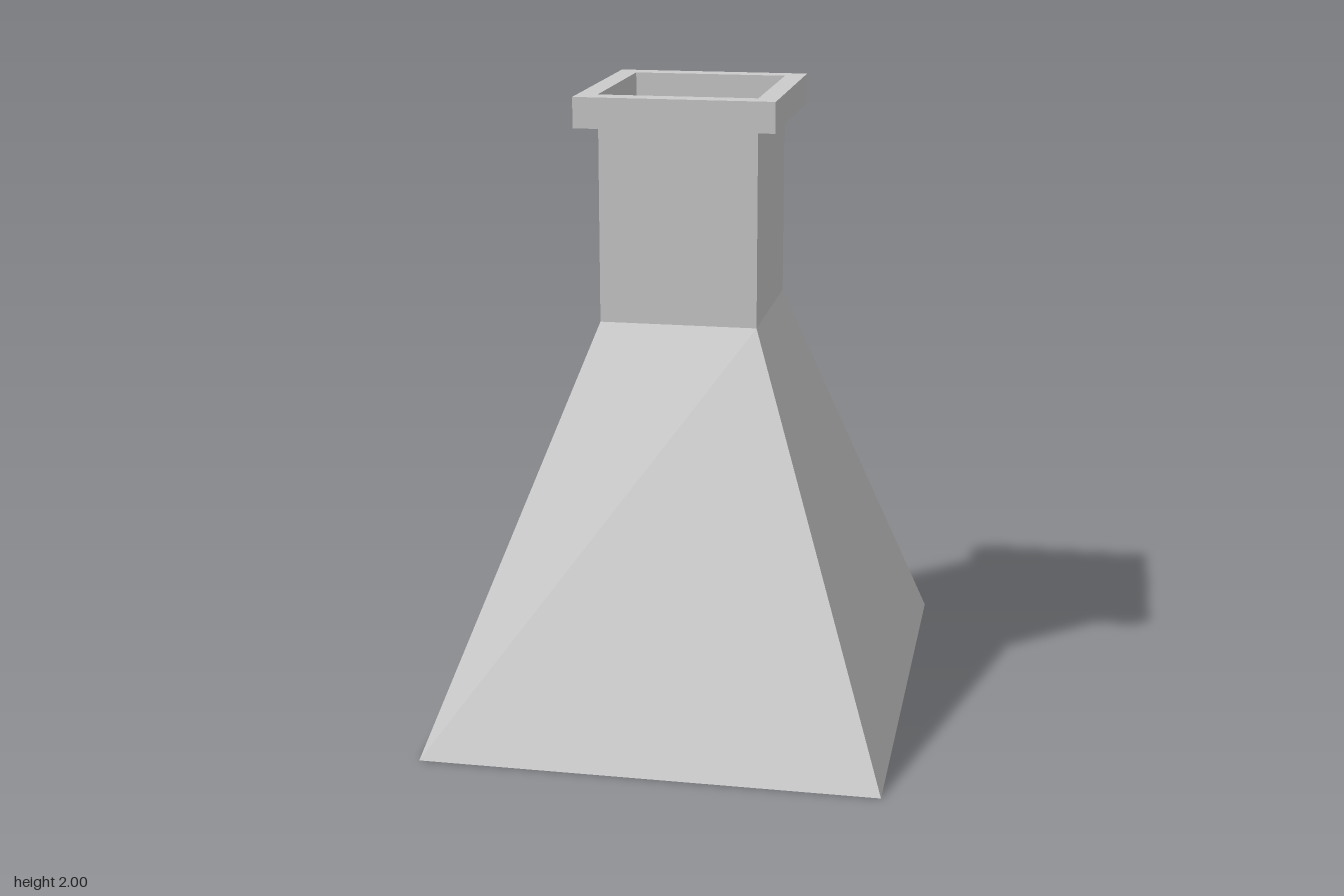
import * as THREE from 'three';

const material = new THREE.MeshStandardMaterial({ color: 0xcccccc, flatShading: true });
const thinMaterial = new THREE.MeshStandardMaterial({ color: 0xcccccc, flatShading: true, side: THREE.DoubleSide });

// Box whose lower and upper faces are the rectangles [x0, x1, z0, z1].
function frustum(y0, y1, lower, upper) {
  const geometry = new THREE.BoxGeometry(1, 1, 1);
  const p = geometry.attributes.position;
  for (let i = 0; i < p.count; i++) {
    const top = p.getY(i) > 0;
    const r = top ? upper : lower;
    p.setXYZ(i, p.getX(i) > 0 ? r[1] : r[0], top ? y1 : y0, p.getZ(i) > 0 ? r[3] : r[2]);
  }
  geometry.computeVertexNormals();
  return geometry;
}

// Closed rectangular outline centred on the origin.
function rectangle(Target, hx, hz) {
  const path = new Target();
  path.moveTo(-hx, -hz).lineTo(hx, -hz).lineTo(hx, hz).lineTo(-hx, hz).closePath();
  return path;
}

export function createModel() {
  const group = new THREE.Group();
  const add = (name, geometry, mat = material) => {
    const mesh = new THREE.Mesh(geometry, mat);
    mesh.name = name;
    group.add(mesh);
  };

  const hx = 0.247, hz = 0.28, neckY = 1.29, rimY = 1.905;

  // Sloping base
  add('hood', frustum(0, neckY, [-0.715, 0.715, -0.81, 0.81], [-hx, hx, -hz, hz]));

  // Off-centre raised floor inside the shaft
  add('shaftFloor', frustum(neckY, 1.36, [-hx, hx, -hz, hz], [-0.22, 0.16, -hz, 0.27]));

  // Thin open shaft
  const shaft = new THREE.CylinderGeometry(Math.SQRT2, Math.SQRT2, 2 - neckY, 4, 1, true);
  shaft.rotateY(Math.PI / 4).scale(hx, 1, hz).translate(0, (2 + neckY) / 2, 0);
  add('shaft', shaft, thinMaterial);

  // Rim around the opening
  const outline = rectangle(THREE.Shape, 0.31, 0.35);
  outline.holes.push(rectangle(THREE.Path, hx, hz));
  const rim = new THREE.ExtrudeGeometry(outline, { depth: 2 - rimY, bevelEnabled: false });
  rim.rotateX(-Math.PI / 2).translate(0, rimY, 0);
  add('rim', rim);

  return group;
}
